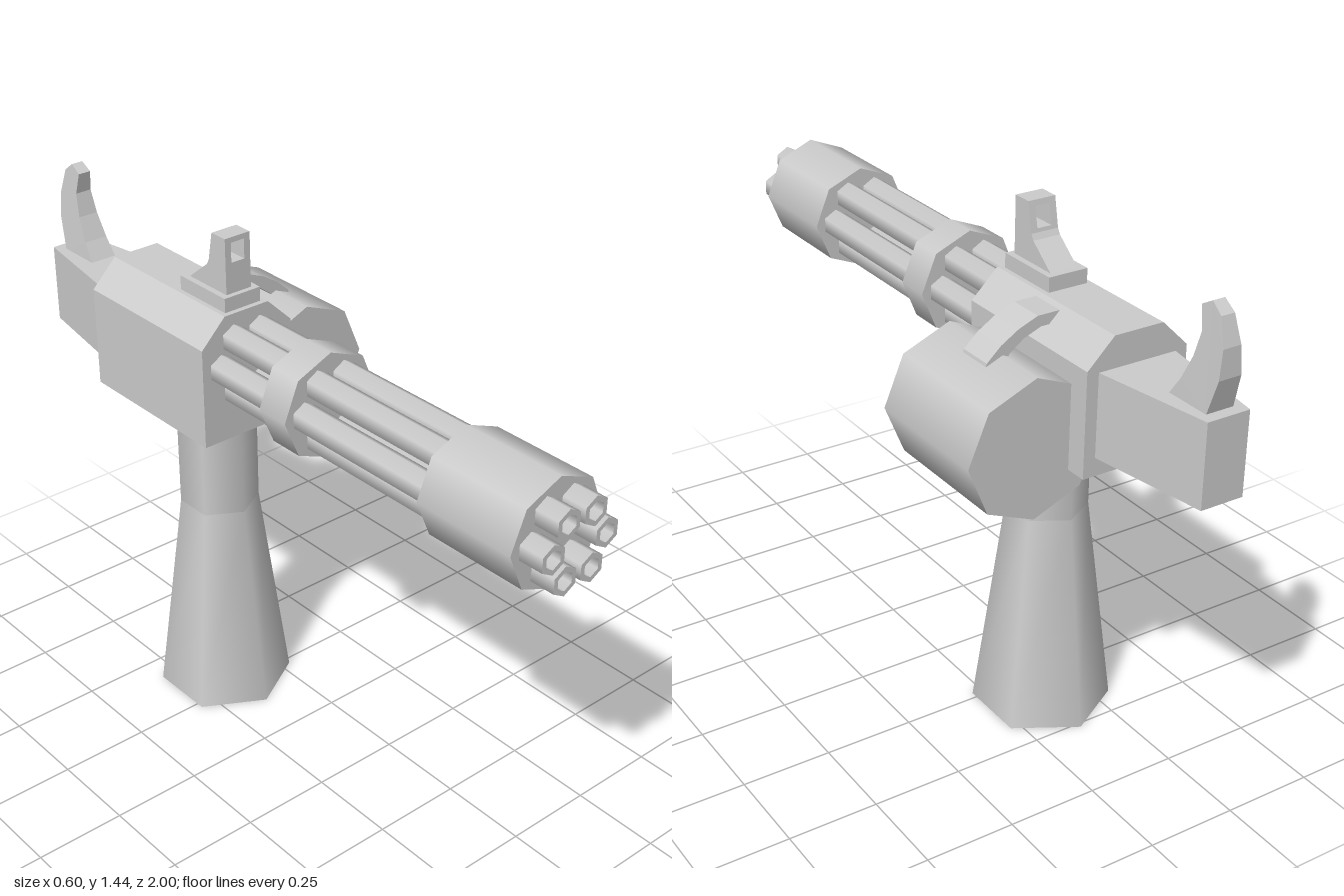
import * as THREE from 'three';

const AXIS_X = -0.135; // gun centre line
const BARREL_Y = 1.1;

export function createModel() {
  const root = new THREE.Group();
  const grey = new THREE.MeshStandardMaterial({ color: 0xcccccc });
  const greyDouble = new THREE.MeshStandardMaterial({ color: 0xcccccc, side: THREE.DoubleSide });

  const add = (name, geometry, x = 0, y = 0, z = 0, parent = root, material = grey) => {
    const mesh = new THREE.Mesh(geometry, material);
    mesh.name = name;
    mesh.position.set(x, y, z);
    parent.add(mesh);
    return mesh;
  };
  const toShape = (pts) => new THREE.Shape(pts.map(([a, b]) => new THREE.Vector2(a, b)));
  const extrude = (shape, depth) =>
    new THREE.ExtrudeGeometry(shape, { depth, bevelEnabled: false, curveSegments: 6 });
  // Side profile of [z, y] points, extruded across x and centred on x = 0
  const extrudeSide = (pts, width) =>
    extrude(toShape(pts.map(([z, y]) => [-z, y])), width).rotateY(Math.PI / 2).translate(-width / 2, 0, 0);
  // Cylinder lying along z, from z0 to z1
  const alongZ = (radius, sides, z0, z1, open = false) =>
    new THREE.CylinderGeometry(radius, radius, z1 - z0, sides, 1, open)
      .rotateX(Math.PI / 2).translate(0, 0, (z0 + z1) / 2);
  // Move every vertex by a rule, then refresh the flat normals
  const reshape = (geometry, rule) => {
    const p = geometry.attributes.position;
    const v = new THREE.Vector3();
    for (let i = 0; i < p.count; i++) {
      rule(v.fromBufferAttribute(p, i));
      p.setXYZ(i, v.x, v.y, v.z);
    }
    geometry.computeVertexNormals();
    return geometry;
  };

  // Six-sided pedestal
  add('pedestalFoot', new THREE.CylinderGeometry(0.11, 0.19, 0.61, 6), AXIS_X, 0.305, -0.325);
  add('pedestalNeck', new THREE.CylinderGeometry(0.11, 0.11, 0.3, 6), AXIS_X, 0.76, -0.325);

  // Housing with chamfered top edges
  const housing = toShape([[-0.147, 0.885], [0.147, 0.885], [0.147, 1.17],
    [0.071, 1.245], [-0.071, 1.245], [-0.147, 1.17]]);
  add('housing', extrude(housing, 0.49), AXIS_X, 0, -0.67);

  // Rear block, narrowing towards the back
  const rear = reshape(new THREE.BoxGeometry(0.23, 0.225, 0.34), (v) => {
    if (v.z < 0) v.x *= 0.53;
  });
  add('rearBlock', rear, AXIS_X, 1.0475, -0.83);

  // Curved grip, thinner at its tip
  const grip = reshape(extrudeSide([[-0.83, 1.15], [-0.87, 1.21], [-0.9, 1.275], [-0.916, 1.34],
    [-0.903, 1.4], [-0.937, 1.42], [-0.97, 1.395], [-0.992, 1.325], [-0.993, 1.25], [-0.965, 1.15]], 0.08),
  (v) => { v.x *= 1 - 2.2 * Math.max(0, v.y - 1.16); });
  add('rearGrip', grip, AXIS_X);

  // Rotary barrels with hollow muzzles
  const barrels = new THREE.Group();
  barrels.name = 'barrels';
  root.add(barrels);
  const tube = alongZ(0.04, 6, -0.2, 1, true);
  const bore = alongZ(0.026, 6, 0.88, 1, true);
  const rim = new THREE.RingGeometry(0.026, 0.04, 6, 1, Math.PI / 2).translate(0, 0, 1);
  const boreEnd = new THREE.CircleGeometry(0.026, 6, Math.PI / 2).translate(0, 0, 0.88);
  for (let i = 0; i < 6; i++) {
    const a = (i * Math.PI) / 3;
    const x = AXIS_X + 0.086 * Math.cos(a);
    const y = BARREL_Y + 0.086 * Math.sin(a);
    add('barrelTube', tube, x, y, 0, barrels);
    add('barrelBore', bore, x, y, 0, barrels, greyDouble);
    add('barrelRim', rim, x, y, 0, barrels);
    add('barrelBoreEnd', boreEnd, x, y, 0, barrels);
  }

  // Octagonal barrel clamps
  add('muzzleClamp', alongZ(0.149, 8, 0.63, 0.93), AXIS_X, BARREL_Y);
  add('middleClamp', alongZ(0.149, 8, 0.055, 0.155), AXIS_X, BARREL_Y);

  // Ammunition drum and its feed strap
  add('ammoDrum', alongZ(0.19, 8, -0.61, -0.23), 0.11, 0.966);
  const strap = toShape([[-0.07, 1.205], [0, 1.205], [0.05, 1.185], [0.09, 1.155], [0.11, 1.125],
    [0.16, 1.125], [0.155, 1.145], [0.115, 1.182], [0.065, 1.213], [0.01, 1.235], [-0.07, 1.235]]);
  add('feedStrap', extrude(strap, 0.1), 0, 0, -0.465);

  // Sight: base plate, sloped foot and a windowed post
  const sight = new THREE.Group();
  sight.name = 'sight';
  root.add(sight);
  add('sightBase', new THREE.BoxGeometry(0.115, 0.045, 0.19), AXIS_X, 1.2625, -0.29, sight);
  const foot = [[-0.21, 1.26], [-0.21, 1.36], [-0.281, 1.36], [-0.29, 1.345], [-0.378, 1.275], [-0.378, 1.26]];
  add('sightFoot', extrudeSide(foot, 0.08), AXIS_X, 0, 0, sight);
  const frame = toShape([[-0.04, 1.36], [0.04, 1.36], [0.04, 1.44], [-0.04, 1.44]]);
  frame.holes.push(toShape([[-0.021, 1.37], [-0.021, 1.425], [0.021, 1.425], [0.021, 1.37]]));
  const post = reshape(extrude(frame, 0.055), (v) => {
    if (v.z < 0.01) v.z -= (1.44 - v.y) * 0.2;
  });
  add('sightPost', post, AXIS_X, 0, -0.265, sight);

  return root;
}
